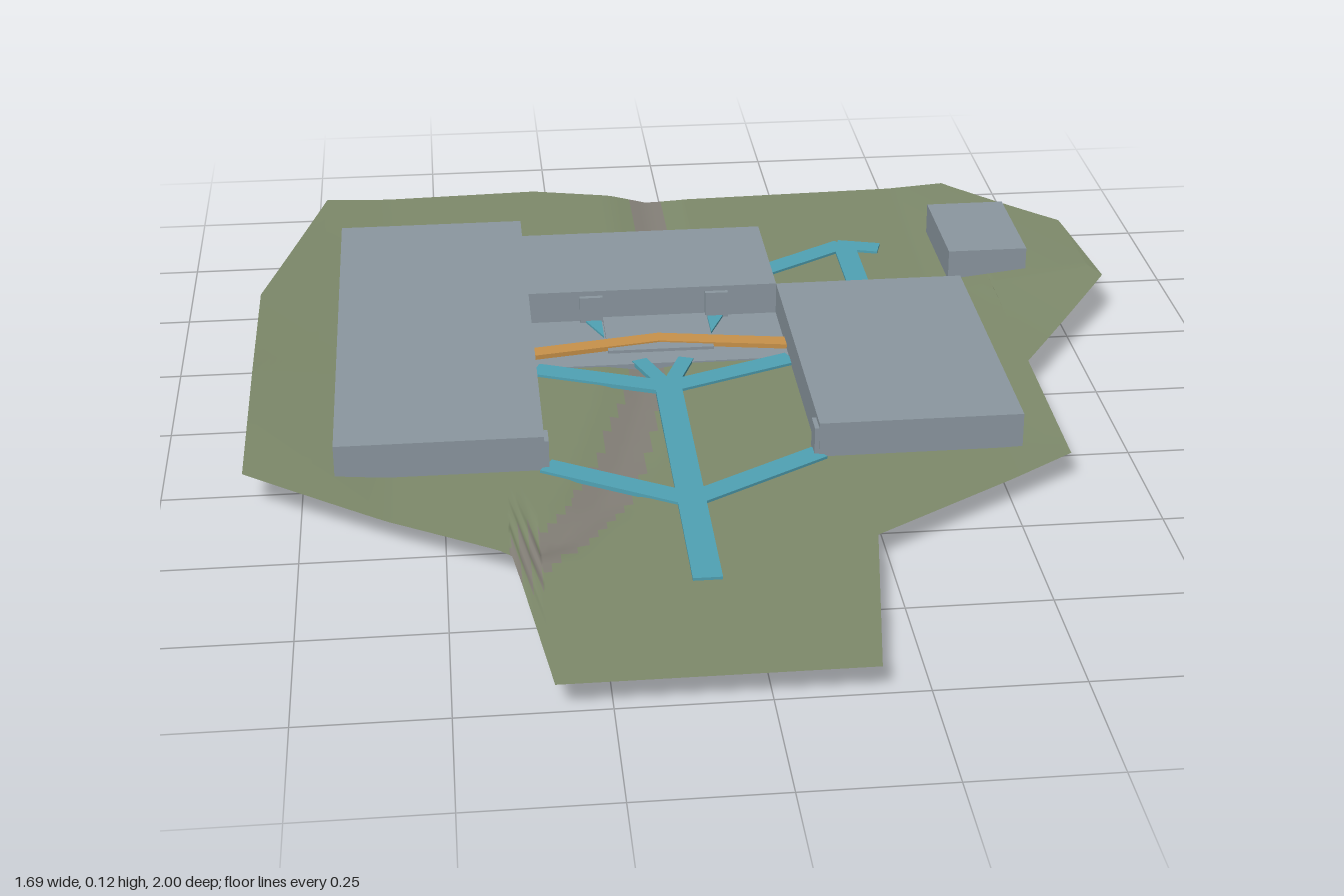
import * as THREE from 'three';

const mat = (name, color) => {
  const m = new THREE.MeshStandardMaterial({ color });
  m.name = name;
  return m;
};

// Piecewise linear lookup through [x, y] points
function lerpAt(points, x) {
  for (let i = 1; i < points.length; i++) {
    const [x0, y0] = points[i - 1], [x1, y1] = points[i];
    if (x <= x1) return y0 + ((y1 - y0) * Math.max(0, x - x0)) / (x1 - x0);
  }
  return points[points.length - 1][1];
}

const backEdge = [[-0.85, -0.46], [-0.73, -0.98], [-0.28, -1], [0.04, -0.92], [0.62, -0.94], [0.82, -0.66], [0.84, -0.35]];
const frontEdge = [[-0.85, 0.3], [-0.39, 0.59], [-0.34, 1], [0.17, 1], [0.23, 0.59], [0.62, 0.34], [0.621, -0.03], [0.84, -0.35]];
// Creek centre line: x as a function of z
const creek = [[-1, -0.035], [-0.55, -0.04], [0, -0.12], [0.3, -0.19], [0.45, -0.24], [0.64, -0.38]];

function creekDistance(x, z) {
  return z > 0.66 ? 1 : Math.abs(x - lerpAt(creek, z));
}

function groundHeight(x, z) {
  const right = Math.max(0, x - 0.5) / 0.34 * 0.038 * Math.max(0.3, 1 - Math.abs(z + 0.4));
  const left = Math.max(0, -0.6 - x) / 0.25 * 0.028 * Math.max(0.3, 1 - Math.abs(z + 0.1) * 0.6);
  const d = creekDistance(x, z);
  const dip = z < 0.6 ? 0.012 * Math.max(0, 1 - d / 0.08) : 0;
  return 0.05 + right + left - dip;
}

// Rolling ground: columns along x, split into grass and creek bed
function makeGround(grass, bed) {
  const xs = [0.621];
  for (let i = 0; i <= 100; i++) xs.push(-0.85 + (1.69 * i) / 100);
  [...backEdge, ...frontEdge].forEach((p) => xs.push(p[0]));
  const cols = [...new Set(xs)].sort((a, b) => a - b);
  const rows = 70, pos = [], grassIdx = [], bedIdx = [];
  for (const x of cols) {
    const z0 = lerpAt(backEdge, x), z1 = lerpAt(frontEdge, x);
    for (let j = 0; j <= rows; j++) {
      const z = z0 + ((z1 - z0) * j) / rows;
      pos.push(x, groundHeight(x, z), z);
    }
  }
  for (let i = 0; i < cols.length - 1; i++) {
    for (let j = 0; j < rows; j++) {
      const a = i * (rows + 1) + j, b = a + rows + 1;
      const x = (pos[a * 3] + pos[b * 3]) / 2, z = (pos[a * 3 + 2] + pos[b * 3 + 5]) / 2;
      const target = creekDistance(x, z) < 0.035 + Math.max(0, z) * 0.04 ? bedIdx : grassIdx;
      target.push(a, a + 1, b, b, a + 1, b + 1);
    }
  }
  const g = new THREE.BufferGeometry();
  g.setAttribute('position', new THREE.Float32BufferAttribute(pos, 3));
  g.setIndex([...grassIdx, ...bedIdx]);
  g.addGroup(0, grassIdx.length, 0);
  g.addGroup(grassIdx.length, bedIdx.length, 1);
  g.computeVertexNormals();
  const mesh = new THREE.Mesh(g, [grass, bed]);
  mesh.name = 'ground';
  return mesh;
}

export function createModel() {
  const model = new THREE.Group();
  model.name = 'buildingSite';
  const grass = mat('grass', 0x7e8a6b);
  const bed = mat('creekBed', 0x837f77);
  grass.side = bed.side = THREE.DoubleSide;
  const concrete = mat('concrete', 0x8b97a0);
  const water = mat('pathBlue', 0x50a2b4);
  const timber = mat('corridorOrange', 0xc8924a);

  // Box given by its limits on each axis
  const box = (name, x0, x1, y0, y1, z0, z1, material = concrete) => {
    const m = new THREE.Mesh(new THREE.BoxGeometry(x1 - x0, y1 - y0, z1 - z0), material);
    m.position.set((x0 + x1) / 2, (y0 + y1) / 2, (z0 + z1) / 2);
    m.name = name;
    model.add(m);
  };
  // Flat plan outline [x, z], raised between two heights
  const slab = (name, outline, y0, y1, material) => {
    const shape = new THREE.Shape(outline.map(([x, z]) => new THREE.Vector2(x, -z)));
    const g = new THREE.ExtrudeGeometry(shape, { depth: y1 - y0, bevelEnabled: false });
    g.rotateX(-Math.PI / 2);
    g.translate(0, y0, 0);
    const m = new THREE.Mesh(g, material);
    m.name = name;
    model.add(m);
  };
  // Straight strip of path between two plan points
  const path = (x0, z0, x1, z1, w = 0.045) => {
    const m = new THREE.Mesh(new THREE.BoxGeometry(Math.hypot(x1 - x0, z1 - z0), 0.008, w), water);
    m.position.set((x0 + x1) / 2, 0.051, (z0 + z1) / 2);
    m.rotation.y = -Math.atan2(z1 - z0, x1 - x0);
    m.name = 'path';
    model.add(m);
  };

  model.add(makeGround(grass, bed));

  // Main wings and the outbuilding
  box('leftWing', -0.69, -0.32, 0.046, 0.116, -0.68, 0.3);
  box('middleWing', -0.32, 0.17, 0.046, 0.116, -0.6, -0.31);
  box('rightWing', 0.17, 0.54, 0.046, 0.116, -0.31, 0.3);
  box('outbuilding', 0.54, 0.7, 0.05, 0.116, -0.68, -0.43);

  // Lower storey and courtyard terrace
  box('lowerMiddle', -0.32, 0.175, 0.001, 0.053, -0.32, -0.105);
  box('lowerLeft', -0.69, -0.32, 0.001, 0.047, -0.47, -0.3);
  box('terrace', -0.175, 0.03, 0.04, 0.059, -0.31, -0.155);

  // Bent corridor running under the wings
  slab('corridor', [[-0.5, -0.11], [-0.073, -0.185], [0.355, -0.11], [0.355, -0.145], [-0.073, -0.221], [-0.5, -0.145]], 0, 0.046, timber);
  slab('corridorTop', [[-0.32, -0.142], [-0.073, -0.185], [0.17, -0.142], [0.17, -0.177], [-0.073, -0.221], [-0.32, -0.177]], 0.046, 0.062, timber);
  box('rearHatch', -0.53, -0.46, 0, 0.045, -0.49, -0.47, timber);

  // Doors
  for (const x of [-0.22, 0.028]) box('courtDoor', x, x + 0.045, 0.053, 0.106, -0.315, -0.3);
  box('leftDoor', -0.345, -0.312, 0.05, 0.106, 0.255, 0.298);
  box('rightDoor', 0.162, 0.195, 0.05, 0.106, 0.255, 0.298);

  // Front paths
  path(-0.073, -0.01, -0.073, 0.71, 0.05);
  for (const s of [-1, 1]) {
    path(-0.073, 0.44, -0.073 + s * 0.245, 0.29);
    path(-0.073, 0, -0.073 + s * 0.245, -0.1);
    path(-0.073, 0, -0.073 + s * 0.045, -0.12, 0.03);
    const c = -0.073, pts = [[c + s * 0.14, -0.31], [c + s * 0.105, -0.31], [c + s * 0.105, -0.225]];
    slab('courtPath', pts, 0.05, 0.057, water);
  }
  // Rear paths
  path(0.17, -0.515, 0.35, -0.63);
  path(0.34, -0.63, 0.425, -0.605);
  path(0.355, -0.64, 0.355, -0.31);
  return model;
}
